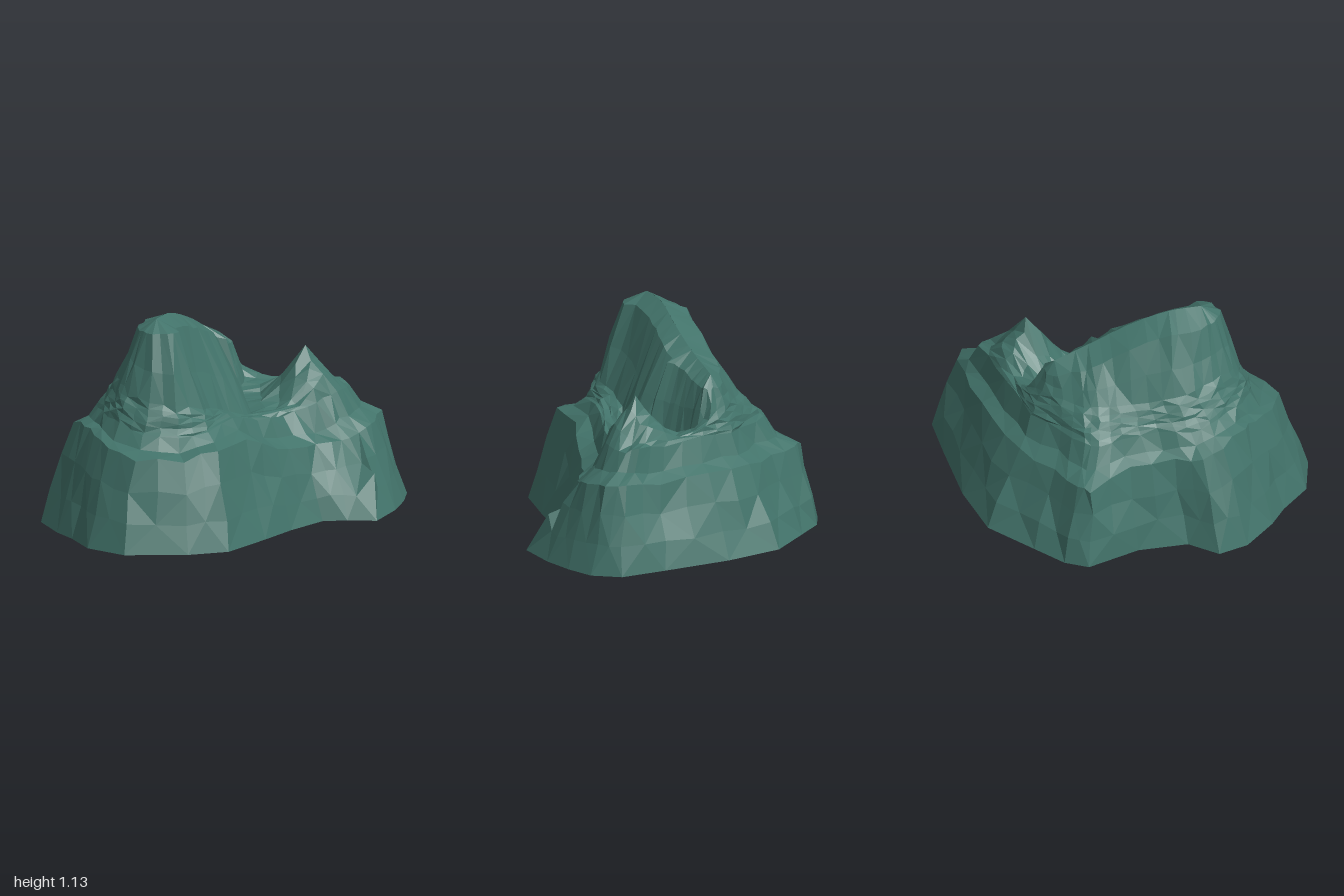
import * as THREE from 'three';

// Contours share the same bearings, so point i of each lies on one rib. [x, z] or [x, z, y]
const base = [
  [1, -.2], [.95, -.04], [.87, .13], [.73, .33], [.58, .29], [.45, .28], [.25, .43], [.08, .59], [-.16, .8],
  [-.38, .82], [-.71, .76], [-.87, .58], [-.91, .37], [-.96, .23], [-1, 0], [-.95, -.16], [-.77, -.21],
  [-.62, -.43], [-.54, -.72], [-.42, -.78], [-.22, -.8], [.09, -.83], [.4, -.7], [.73, -.5], [.95, -.36],
];
const lowerLedge = [
  [.86, -.22, .46], [.8, -.08, .44], [.73, .01, .43], [.64, .07, .4], [.52, .13, .38], [.38, .18, .38],
  [.19, .3, .41], [.01, .43, .51], [-.18, .64, .51], [-.38, .66, .47], [-.63, .62, .48], [-.74, .46, .5],
  [-.78, .3, .54], [-.8, .18, .56], [-.82, 0, .54], [-.78, -.1, .5], [-.66, -.2, .48], [-.53, -.4, .46],
  [-.49, -.64, .42], [-.4, -.66, .42], [-.2, -.62, .42], [.06, -.64, .42], [.34, -.55, .43], [.62, -.4, .43],
  [.82, -.32, .45],
];
const upperLedge = [
  [.7, -.24, .6], [.67, -.16, .6], [.6, -.08, .6], [.52, -.02, .59], [.42, .03, .56], [.28, .08, .52],
  [.11, .21, .55], [-.04, .33, .6], [-.2, .49, .57], [-.38, .55, .56], [-.56, .5, .57], [-.66, .38, .62],
  [-.7, .28, .63], [-.71, .16, .63], [-.71, .02, .62], [-.66, -.08, .6], [-.55, -.2, .6], [-.44, -.36, .6],
  [-.38, -.48, .58], [-.32, -.52, .58], [-.14, -.52, .58], [.06, -.53, .59], [.26, -.46, .6], [.48, -.36, .6],
  [.66, -.3, .62],
];
const ridgeFoot = [
  [.11, -.25, .57], [.1, -.18, .56], [.1, -.1, .55], [.13, -.02, .54], [.1, .06, .54], [.02, .13, .56],
  [-.07, .19, .6], [-.15, .28, .65], [-.22, .41, .67], [-.37, .48, .72], [-.51, .44, .73], [-.6, .34, .78],
  [-.62, .25, .8], [-.62, .14, .8], [-.6, .02, .78], [-.55, -.08, .76], [-.45, -.18, .74], [-.35, -.3, .72],
  [-.28, -.38, .72], [-.22, -.42, .72], [-.1, -.46, .72], [.04, -.48, .72], [.14, -.45, .7], [.17, -.38, .63],
  [.13, -.31, .59],
];

const V = (x, y, z) => new THREE.Vector3(x, y, z);
const flat = (a, b) => Math.hypot(a.x - b.x, a.z - b.z);

// Turn a contour into points, with one extra point halfway along each side
function contour(points) {
  const ring = [];
  points.forEach(([x, z, y = 0], i) => {
    const [x2, z2, y2 = 0] = points[(i + 1) % points.length];
    ring.push(V(x, y, z), V((x + x2) / 2, (y + y2) / 2, (z + z2) / 2));
  });
  return ring;
}

// Contour between two others: t is the share of the way across, ty the share of the way up
const blend = (a, b, t, ty = t) => a.map((p, i) => {
  const q = p.clone().lerp(b[i], t);
  q.y = THREE.MathUtils.lerp(p.y, b[i].y, ty);
  return q;
});

function createModel() {
  let seed = 7;
  const rand = () => (seed = (seed * 16807) % 2147483647) / 2147483647 - 0.5;

  const foot = contour(base), low = contour(lowerLedge), high = contour(upperLedge), neck = contour(ridgeFoot);

  // Crest line of the main ridge; each rib ends at its nearest crest point
  const crestSamples = new THREE.CatmullRomCurve3([
    V(-.43, 1.135, .24), V(-.33, 1.125, .1), V(-.19, 1.05, -.06), V(-.09, .97, -.2), V(.03, .88, -.39),
  ]).getPoints(40);
  const crest = neck.map((p) => crestSamples.reduce((m, c) => (flat(c, p) < flat(m, p) ? c : m)).clone());
  // The flank facing the front right leans back further than the others
  const shoulder = neck.map((p, i) => {
    const q = p.clone().lerp(crest[i], p.x > -0.2 && p.z > -0.05 ? 0.68 : 0.5);
    q.y = crest[i].y - 0.06;
    return q;
  });

  // Small buttress at the right front foot
  const skirt = blend(foot, low, 0.32);
  const flank = blend(foot, low, 0.66);
  skirt[6].set(.74, .22, .18);
  flank[6].set(.69, .25, .1);

  // Shelf and basin around the ridge, with the lesser peak raised on it
  const peak = V(.45, .84, -.17);
  const shelf = [0.14, 0.3, 0.45, 0.62, 0.8].map((t) => blend(high, neck, t).map((p) => {
    p.y += 0.25 * Math.max(0, 1 - flat(p, peak) / 0.2);
    return p;
  }));

  const rings = [
    foot, skirt, flank, low, blend(low, high, 0.62, 0.3), high, ...shelf, neck,
    blend(neck, shoulder, 0.45), shoulder, crest,
  ];

  // Roughen the rock between the foot and the crest
  rings.slice(1, -1).forEach((ring) => ring.forEach((p) => {
    const rough = p.y < 0.5 ? 0.025 : 0.016;
    p.add(V(rand() * rough, rand() * rough, rand() * rough));
  }));
  shelf[2][2].copy(peak);

  // Skin the contours, leaving the underside open
  const n = foot.length, index = [];
  for (let r = 0; r < rings.length - 1; r++) {
    for (let c = 0; c < n; c++) {
      const a = r * n + c, b = r * n + (c + 1) % n;
      if ((r + c) % 2) index.push(a, a + n, b, b, a + n, b + n);
      else index.push(a, a + n, b + n, a, b + n, b);
    }
  }
  const indexed = new THREE.BufferGeometry().setFromPoints(rings.flat());
  indexed.setIndex(index);
  const geometry = indexed.toNonIndexed();
  geometry.computeVertexNormals();

  const stone = new THREE.MeshStandardMaterial({ color: 0x42736a, flatShading: true, side: THREE.DoubleSide });
  stone.name = 'green stone';
  const rock = new THREE.Mesh(geometry, stone);
  rock.name = 'rockyMountain';

  const model = new THREE.Group();
  model.name = 'rockFormation';
  model.add(rock);
  return model;
}

export { createModel };
